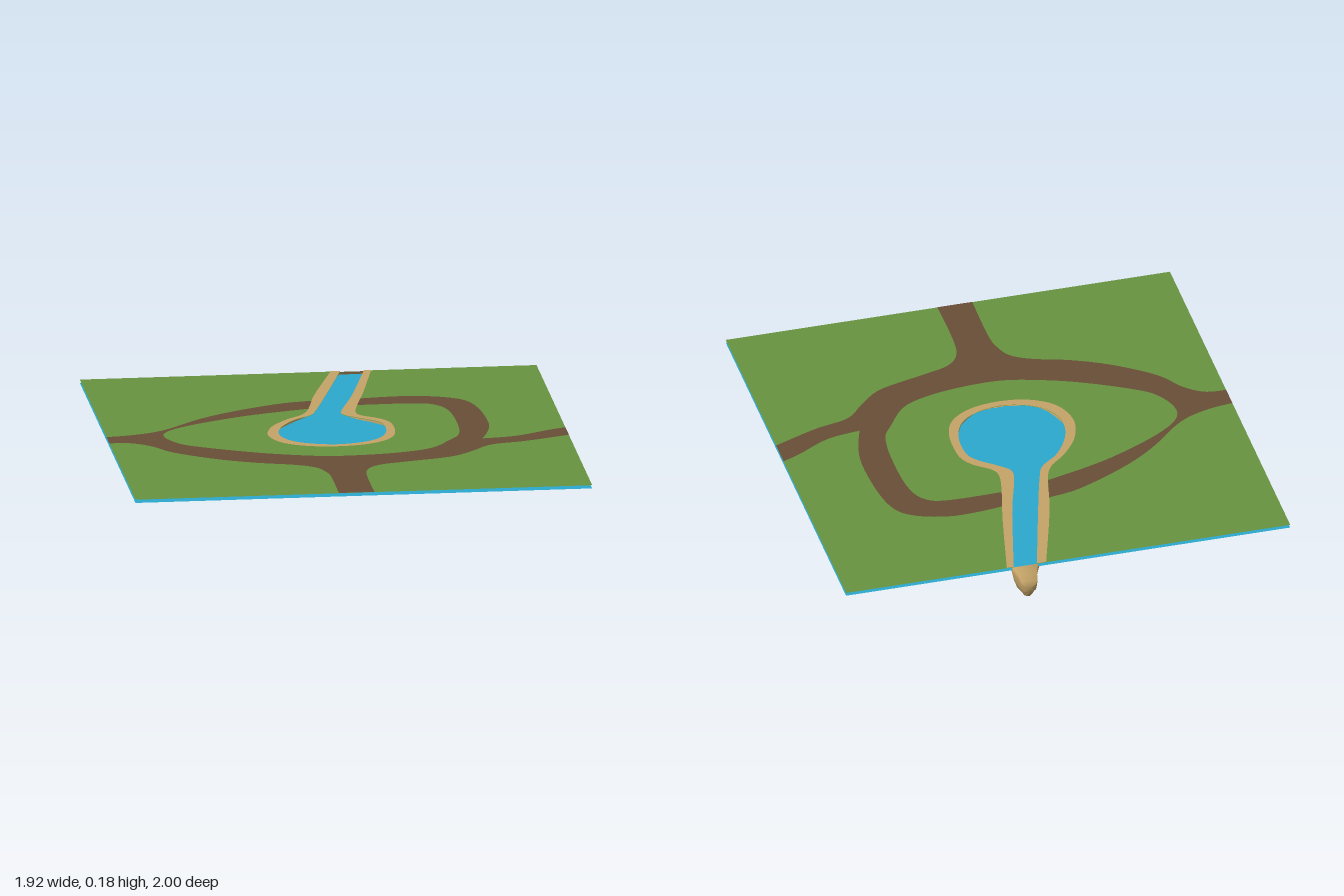
import * as THREE from 'three';

const material = (name, color) =>
  new THREE.MeshStandardMaterial({ name, color, side: THREE.DoubleSide });

const X = 0.96, BACK = -0.925, FRONT = 1, GROUND = 0.174;

// Smooth run of [x, z] points, returned in shape space (y = -z)
const smooth = (pts, n = 4) =>
  new THREE.SplineCurve(pts.map(([x, z]) => new THREE.Vector2(x, -z))).getPoints(pts.length * n);
const corner = (x, z) => new THREE.Vector2(x, -z);

function flatPart(name, points, y, mat) {
  const geo = new THREE.ShapeGeometry(new THREE.Shape(points));
  geo.rotateX(-Math.PI / 2);
  const mesh = new THREE.Mesh(geo, mat);
  mesh.name = name;
  mesh.position.y = y;
  return mesh;
}

// Shoreline: back left, round the pond, back right
const shore = [
  [0.135, BACK], [0.03, -0.555], [-0.04, -0.32], [-0.075, -0.24], [-0.155, -0.17],
  [-0.22, -0.06], [-0.24, 0.05], [-0.21, 0.14], [-0.14, 0.2], [-0.025, 0.233],
  [0.09, 0.21], [0.17, 0.15], [0.21, 0.05], [0.21, -0.07], [0.175, -0.13],
  [0.11, -0.185], [0.06, -0.24], [0.07, -0.32], [0.135, -0.53], [0.235, BACK],
];
// Outer edge of the sandy bank
const bank = [
  [0.095, BACK], [-0.02, -0.555], [-0.07, -0.34], [-0.11, -0.25], [-0.18, -0.185],
  [-0.255, -0.08], [-0.288, 0.05], [-0.25, 0.17], [-0.155, 0.24], [-0.025, 0.265],
  [0.11, 0.243], [0.205, 0.175], [0.245, 0.07], [0.245, -0.08], [0.205, -0.155],
  [0.135, -0.215], [0.12, -0.275], [0.145, -0.4], [0.19, -0.58], [0.265, BACK],
];
// Path outline as smooth runs joined by straight ends
const pathRuns = [
  // north-west outer edge to the west exit
  [[-0.04, -0.47], [-0.18, -0.44], [-0.39, -0.34], [-0.55, -0.23], [-0.71, -0.08], [-0.84, -0.02], [-X, 0]],
  // west exit to the south exit
  [[-X, 0.1], [-0.87, 0.11], [-0.79, 0.17], [-0.71, 0.28], [-0.55, 0.4], [-0.39, 0.48],
    [-0.24, 0.53], [-0.155, 0.58], [-0.12, 0.65], [-0.105, 0.74], [-0.105, FRONT]],
  // south exit to the east exit
  [[0.045, FRONT], [0.045, 0.74], [0.065, 0.63], [0.125, 0.57], [0.24, 0.535], [0.43, 0.48],
    [0.53, 0.4], [0.62, 0.31], [0.77, 0.27], [X, 0.195]],
  [[X, 0.075], [0.88, 0.11], [0.74, 0.185], [0.595, 0.21]],
  // east side back to the channel
  [[0.595, 0.21], [0.63, 0.1], [0.65, -0.03], [0.64, -0.24], [0.605, -0.385], [0.53, -0.455],
    [0.4, -0.495], [0.27, -0.495], [0.15, -0.48]],
  // inner edge, right round to the other bank
  [[0.13, -0.38], [0.37, -0.38], [0.465, -0.345], [0.51, -0.24], [0.52, -0.03], [0.505, 0.13],
    [0.46, 0.21], [0.37, 0.33], [0.24, 0.385], [0.08, 0.41], [-0.08, 0.41], [-0.235, 0.37],
    [-0.39, 0.31], [-0.58, 0.21], [-0.67, 0.14], [-0.72, 0.03], [-0.695, -0.06],
    [-0.58, -0.15], [-0.39, -0.245], [-0.235, -0.3], [-0.07, -0.345]],
];

// Basin cross-sections: z, left x, right x, bottom y, rim y
const RIM = 0.172;
const sections = [
  [0.25, -0.05, 0.02, 0.165, RIM], [0.23, -0.13, 0.09, 0.135, RIM], [0.2, -0.18, 0.13, 0.115, RIM],
  [0.16, -0.21, 0.17, 0.065, RIM], [0.1, -0.235, 0.2, 0.042, RIM], [0.05, -0.25, 0.235, 0.002, RIM],
  [-0.02, -0.25, 0.24, 0.02, RIM], [-0.1, -0.22, 0.22, 0.038, RIM], [-0.16, -0.18, 0.17, 0.058, RIM],
  [-0.21, -0.14, 0.12, 0.07, RIM], [-0.27, -0.09, 0.08, 0.08, RIM], [-0.34, -0.068, 0.09, 0.084, RIM],
  [-0.42, -0.05, 0.11, 0.088, RIM], [-0.51, -0.025, 0.14, 0.09, RIM], [-0.6, 0, 0.165, 0.092, RIM],
  [-0.68, 0.028, 0.185, 0.09, RIM], [-0.76, 0.055, 0.205, 0.08, RIM], [-0.82, 0.08, 0.22, 0.062, RIM],
  [-0.87, 0.105, 0.235, 0.045, RIM], [-0.923, 0.13, 0.24, 0.045, RIM],
  [-0.965, 0.145, 0.225, 0.05, 0.157], [-0.99, 0.15, 0.22, 0.07, 0.14], [-1, 0.16, 0.21, 0.09, 0.125],
];
const CLOSED_FROM = 19; // the tip past the ground edge is closed on top

function basinGeometry() {
  const N = 18, W = N + 1, pos = [], index = [];
  sections.forEach(([z, l, r, bottom, top], i) => {
    const c = (l + r) / 2, w = (r - l) / 2;
    for (let k = 0; k <= N; k++) {
      const t = Math.PI * k / N, s = Math.sin(t);
      const lump = 0.006 * s * Math.sin(k * 1.9 + i * 2.3) + 0.004 * s * Math.sin(k * 0.8 - i * 1.7);
      const skew = w > 0.15 ? 0.07 * s * s * w / 0.24 : 0; // deepest point lies to one side
      const y = top - (top - bottom) * Math.pow(s, 0.9) + lump;
      pos.push(c - w * Math.cos(t) + skew, Math.max(0, Math.min(top, y)), z);
    }
  });
  for (let i = 0; i < sections.length - 1; i++) {
    const count = i >= CLOSED_FROM ? W : N;
    for (let k = 0; k < count; k++) {
      const a = i * W + k, b = i * W + (k + 1) % W;
      index.push(a, a + W, b, b, a + W, b + W);
    }
  }
  // cap on the far tip
  const last = (sections.length - 1) * W;
  pos.push(0.185, 0.108, -1);
  for (let k = 0; k < W; k++) index.push(last + k, last + W, last + (k + 1) % W);
  const geo = new THREE.BufferGeometry();
  geo.setAttribute('position', new THREE.Float32BufferAttribute(pos, 3));
  geo.setIndex(index);
  geo.computeVertexNormals();
  return geo;
}

export function createModel() {
  const grass = material('grass green', 0x67933f);
  const dirt = material('path brown', 0x694e37);
  const sand = material('sand', 0xc4a367);
  const water = material('water blue', 0x2ca9cd);

  const group = new THREE.Group();
  group.name = 'pondPark';

  const shoreLine = smooth(shore), bankLine = smooth(bank);

  // Lawn, notched where the pond and channel open
  group.add(flatPart('lawn', [
    corner(-X, BACK), ...shoreLine, corner(X, BACK), corner(X, FRONT), corner(-X, FRONT),
  ], GROUND, grass));

  // Footpaths and sandy bank lie just above the lawn
  group.add(flatPart('footpaths', pathRuns.flatMap((run) => smooth(run)), GROUND + 0.001, dirt));
  group.add(flatPart('sandyBank', [...bankLine, ...shoreLine.slice().reverse()], GROUND + 0.002, sand));

  // Water sheet under the whole lawn
  group.add(flatPart('waterSheet', [
    corner(-X, BACK), corner(X, BACK), corner(X, FRONT), corner(-X, FRONT),
  ], 0.16, water));

  // Lumpy bed of the pond and channel
  const basin = new THREE.Mesh(basinGeometry(), sand);
  basin.name = 'basin';
  group.add(basin);

  return group;
}
